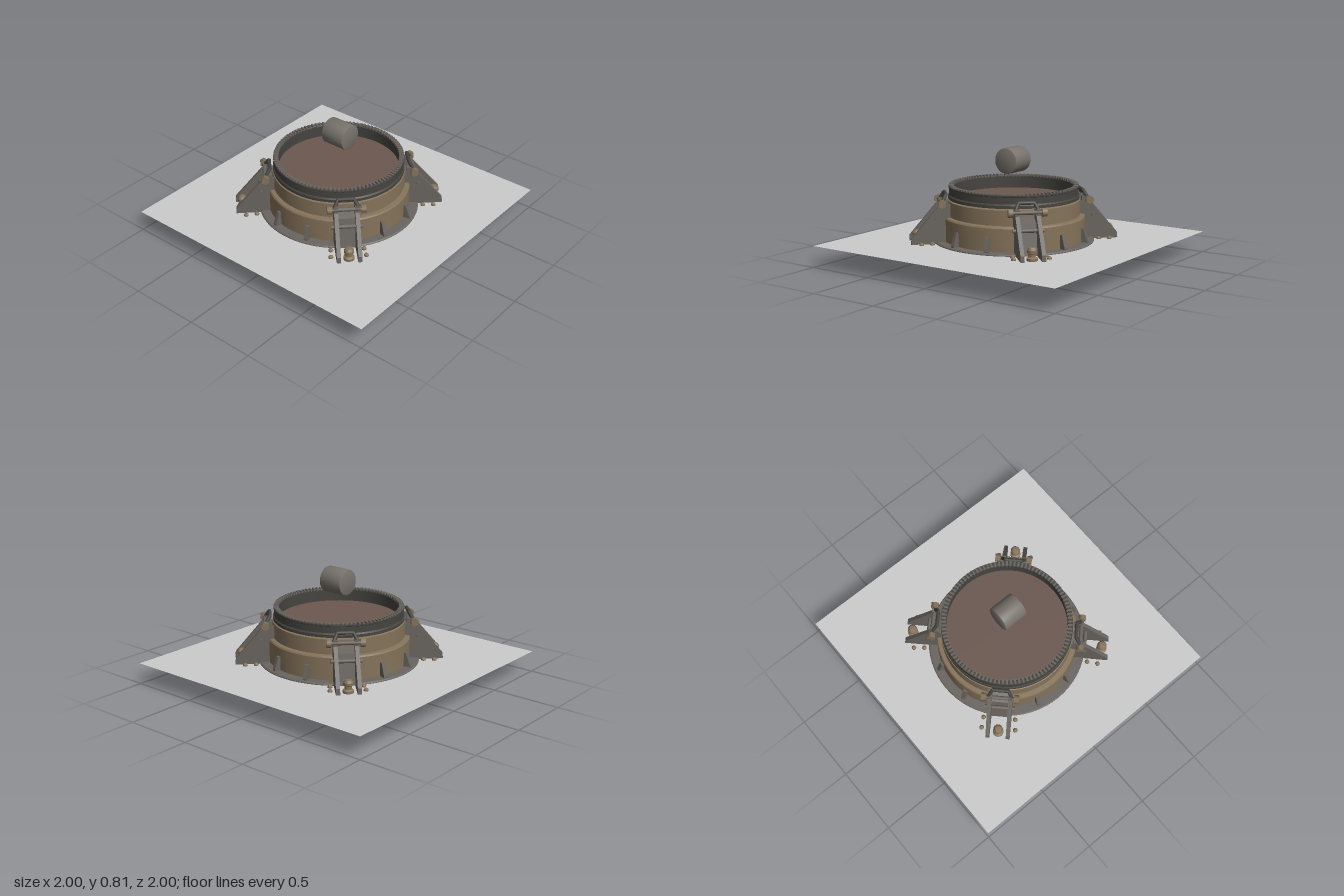
import * as THREE from 'three';
import { mergeGeometries, toCreasedNormals } from 'three/addons/utils/BufferGeometryUtils.js';

const mat = (color) => new THREE.MeshStandardMaterial({ color });
const grey = mat(0xcccccc), steel = mat(0x69645f), dark = mat(0x45443f);
const tan = mat(0x85735a), umber = mat(0x51473a), brown = mat(0x6b5850);

function add(parent, name, geometry, material, x = 0, y = 0, z = 0) {
  const mesh = new THREE.Mesh(geometry, material);
  mesh.name = name;
  mesh.position.set(x, y, z);
  parent.add(mesh);
  return mesh;
}

// Profile of [radius, height] pairs, listed from the bottom up the outside
function lathe(points, segments = 64) {
  const profile = points.map(([r, y]) => new THREE.Vector2(r, y));
  return toCreasedNormals(new THREE.LatheGeometry(profile, segments), 0.6);
}

// Plate drawn in x/y and centred on z
function plate(points, thickness) {
  const shape = new THREE.Shape(points.map(([x, y]) => new THREE.Vector2(x, y)));
  const geometry = new THREE.ExtrudeGeometry(shape, { depth: thickness, bevelEnabled: false });
  return geometry.translate(0, 0, -thickness / 2);
}

// Cylinder lying along z
const pin = (radius, length, sides = 12) =>
  new THREE.CylinderGeometry(radius, radius, length, sides).rotateX(Math.PI / 2);

// One clamp bracket, built with +x pointing outwards from the drum
function createBracket() {
  const g = new THREE.Group();
  g.name = 'clampBracket';

  // Side gussets
  const gusset = plate([[0.46, 0.125], [0.72, 0.125], [0.74, 0.145], [0.735, 0.195],
    [0.545, 0.42], [0.46, 0.43]], 0.028);
  for (const s of [-1, 1]) add(g, 'gusset', gusset, steel, 0, 0, s * 0.072);

  // Web between the gussets, and the sunken foot
  add(g, 'web', plate([[0.46, 0.16], [0.58, 0.16], [0.535, 0.37], [0.46, 0.4]], 0.12), steel);
  add(g, 'foot', plate([[0.54, -0.13], [0.66, -0.13], [0.69, -0.09], [0.69, 0.09],
    [0.66, 0.13], [0.54, 0.13]], 0.028).rotateX(Math.PI / 2), dark, 0, 0.136, 0);

  // Anchor bolt with a domed head
  add(g, 'anchorBolt', lathe([[0, 0.1], [0.026, 0.105], [0.03, 0.13], [0.038, 0.14], [0.038, 0.17],
    [0.024, 0.18], [0.024, 0.2], [0.034, 0.206], [0.034, 0.225], [0.022, 0.241], [0, 0.246]], 16),
  tan, 0.69, 0, 0);

  // Small foot bolts
  for (const s of [-1, 1]) {
    for (const [x, z] of [[0.67, 0.12], [0.594, 0.113]]) {
      add(g, 'footBolt', new THREE.SphereGeometry(0.017, 12, 8), tan, x, 0.157, s * z);
    }
  }

  // Hinge pin with hexagonal nuts, and a thinner cross pin below
  add(g, 'hingePin', pin(0.014, 0.26), steel, 0.525, 0.44, 0);
  add(g, 'crossPin', pin(0.014, 0.21), steel, 0.56, 0.325, 0);
  for (const s of [-1, 1]) {
    add(g, 'hingeNut', pin(0.03, 0.034, 6), tan, 0.525, 0.44, s * 0.115);
    add(g, 'hingeLug', new THREE.BoxGeometry(0.06, 0.06, 0.03), steel, 0.505, 0.43, s * 0.072);
  }

  // Arched latch hooked against the rim
  const arch = new THREE.CurvePath();
  const pts = [[0.525, 0.44, -0.085], [0.49, 0.5, -0.055], [0.49, 0.5, 0.055], [0.525, 0.44, 0.085]]
    .map((p) => new THREE.Vector3(...p));
  for (let i = 0; i < 3; i++) arch.add(new THREE.LineCurve3(pts[i], pts[i + 1]));
  add(g, 'latch', new THREE.TubeGeometry(arch, 24, 0.013, 8), dark);
  return g;
}

export function createModel() {
  const model = new THREE.Group();
  model.name = 'clampedDrum';

  // Ground sheet
  const sheetMat = mat(0xcccccc);
  sheetMat.side = THREE.DoubleSide;
  add(model, 'groundSheet', new THREE.PlaneGeometry(2, 2).rotateX(-Math.PI / 2), sheetMat, 0, 0.153, 0);

  // Stepped drum
  add(model, 'base', lathe([[0, 0], [0.505, 0], [0.505, 0.13]]), umber);
  add(model, 'flange', lathe([[0.49, 0.125], [0.565, 0.125], [0.572, 0.132], [0.572, 0.158],
    [0.565, 0.165], [0.49, 0.167]]), steel);
  add(model, 'drum', lathe([[0.505, 0.16], [0.505, 0.325], [0.498, 0.335], [0.47, 0.338],
    [0.47, 0.445], [0.44, 0.455]]), tan);
  add(model, 'floor', new THREE.CircleGeometry(0.44, 64).rotateX(-Math.PI / 2), brown, 0, 0.45, 0);

  // Rim collar
  add(model, 'rim', lathe([[0.44, 0.45], [0.466, 0.455], [0.466, 0.475], [0.458, 0.485],
    [0.458, 0.53], [0.462, 0.533], [0.462, 0.543], [0.435, 0.543], [0.43, 0.538], [0.43, 0.445]]), dark);

  // Ring of teeth on the rim
  const teeth = [];
  for (let i = 0; i < 100; i++) {
    const tooth = new THREE.BoxGeometry(0.034, 0.018, 0.014).translate(0.442, 0.543, 0);
    teeth.push(tooth.rotateY((i / 100) * Math.PI * 2));
  }
  add(model, 'rimTeeth', mergeGeometries(teeth), steel);

  // Pairs of flange ribs, and a bracket on each diagonal
  const rib = plate([[0.49, 0.16], [0.55, 0.16], [0.55, 0.175], [0.52, 0.265], [0.49, 0.265]], 0.028);
  for (let i = 0; i < 4; i++) {
    const turn = (i * Math.PI) / 2;
    for (const s of [-1, 1]) add(model, 'flangeRib', rib, steel).rotation.y = turn + s * 0.26;
    const bracket = createBracket();
    bracket.rotation.y = turn + Math.PI / 4;
    model.add(bracket);
  }

  // Floating roller with softened ends
  const roller = lathe([[0, -0.092], [0.084, -0.092], [0.09, -0.089], [0.092, -0.083],
    [0.092, 0.083], [0.09, 0.089], [0.084, 0.092], [0, 0.092]], 40).rotateZ(Math.PI / 2);
  add(model, 'roller', roller, grey, 0.01, 0.723, 0).material = mat(0x77726b);

  return model;
}
